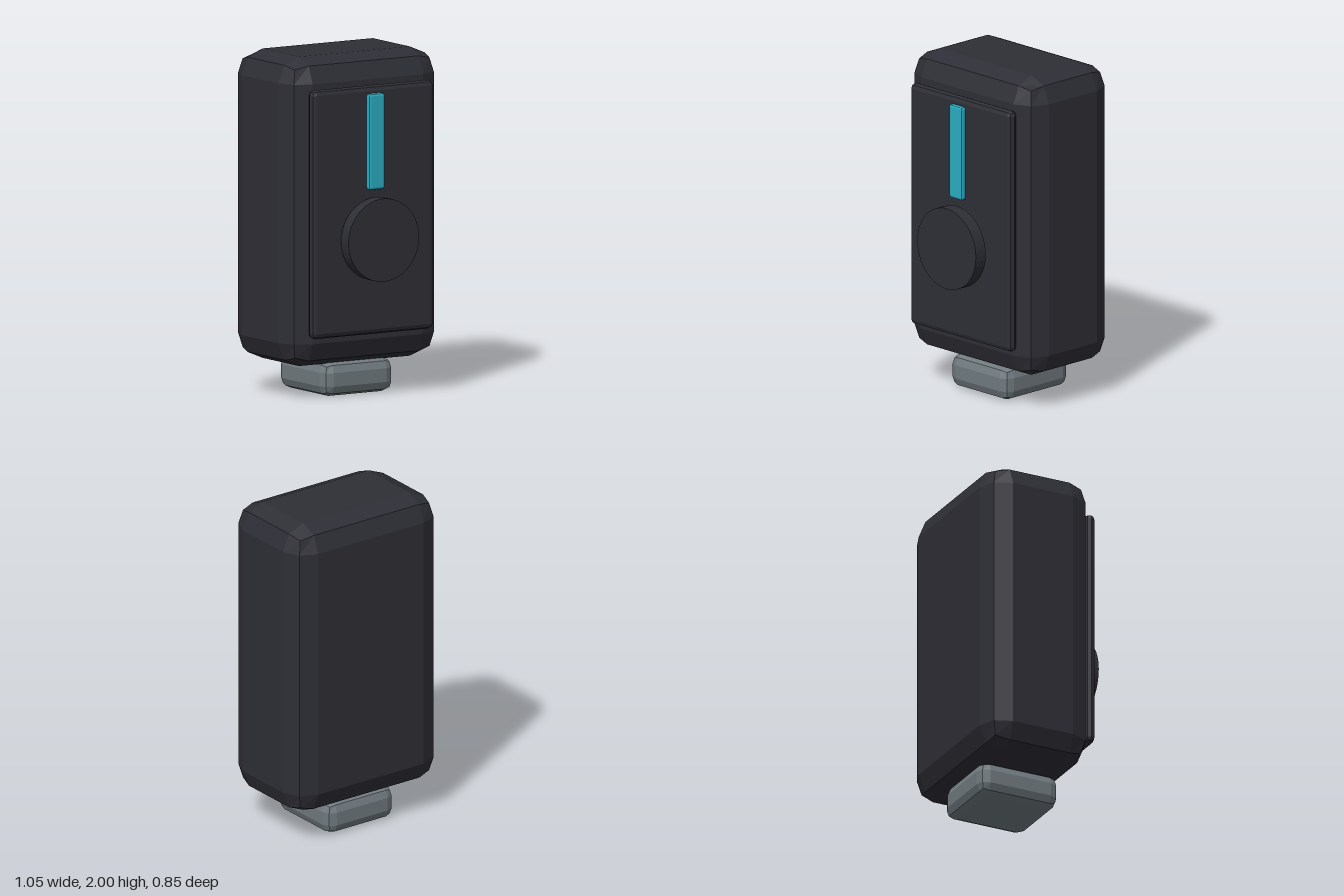
import * as THREE from 'three';
import { RoundedBoxGeometry } from 'three/addons/geometries/RoundedBoxGeometry.js';

function makeMaterial(name, color, flatShading) {
  const m = new THREE.MeshStandardMaterial({ color, flatShading });
  m.name = name;
  return m;
}

export function createModel() {
  const group = new THREE.Group();
  group.name = 'device';
  const charcoal = makeMaterial('charcoal', 0x2e2e36, true);
  const teal = makeMaterial('teal', 0x2bacc1, true);
  const grey = makeMaterial('steel grey', 0x6f797e, true);

  // Box with two-facet rounded edges, given by its extents on each axis
  function roundedBox(name, material, [x0, x1], [y0, y1], [z0, z1], radius) {
    const geometry = new RoundedBoxGeometry(x1 - x0, y1 - y0, z1 - z0, 1, radius);
    const mesh = new THREE.Mesh(geometry, material);
    mesh.position.set((x0 + x1) / 2, (y0 + y1) / 2, (z0 + z1) / 2);
    mesh.name = name;
    group.add(mesh);
  }

  // Main housing, front panel, light strip and foot
  roundedBox('body', charcoal, [-0.525, 0.525], [0.19, 2], [-0.425, 0.255], 0.145);
  roundedBox('frontPanel', charcoal, [-0.42, 0.42], [0.37, 1.825], [0.255, 0.317], 0.03);
  roundedBox('lightStrip', teal, [-0.055, 0.055], [1.22, 1.785], [0.317, 0.356], 0.015);
  roundedBox('foot', grey, [-0.242, 0.242], [0, 0.2], [-0.34, 0.174], 0.06);

  // Round button standing just off the panel
  const button = new THREE.Mesh(new THREE.CylinderGeometry(0.243, 0.243, 0.08, 48), charcoal);
  button.rotation.x = Math.PI / 2;
  button.position.set(0, 0.935, 0.385);
  button.name = 'button';
  group.add(button);

  return group;
}
